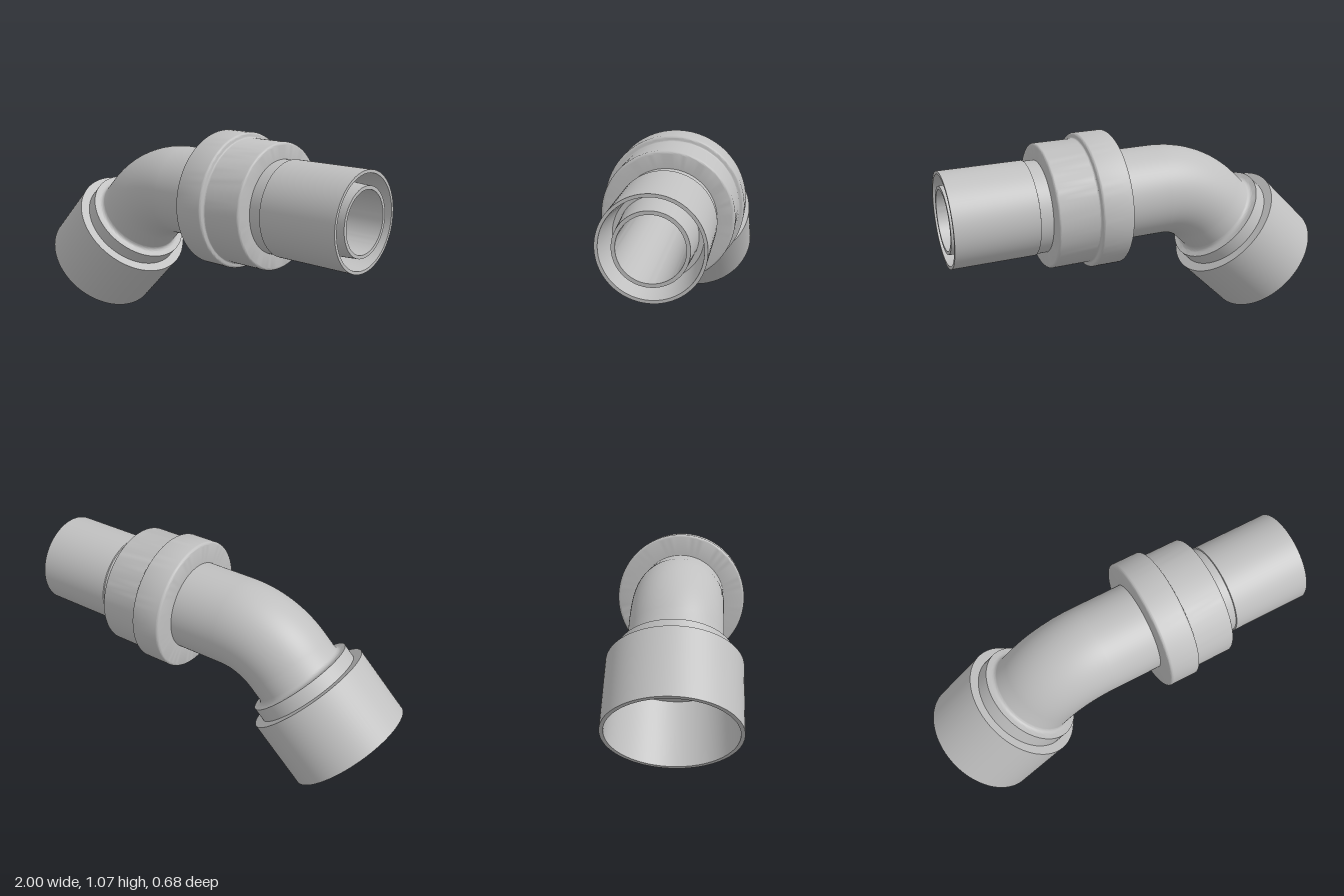
import * as THREE from 'three';
import { toCreasedNormals } from 'three/addons/utils/BufferGeometryUtils.js';

const AXIS_Y = 0.735;      // height of the straight run
const BEND_X = -0.1;       // where the bend begins
const BEND_R = 0.415;      // centre-line radius of the bend
const PIPE_R = 0.23;
const BORE_R = 0.148;
const SEGMENTS = 96;

// quarter-circle corner points, angles in degrees
function corner(cr, cy, radius, from, to) {
  const pts = [];
  for (let i = 0; i <= 6; i++) {
    const a = THREE.MathUtils.degToRad(from + (to - from) * i / 6);
    pts.push([cr + radius * Math.cos(a), cy + radius * Math.sin(a)]);
  }
  return pts;
}

export function createModel() {
  const model = new THREE.Group();
  model.name = 'pipeElbow';
  const grey = new THREE.MeshStandardMaterial({ color: 0xc0c0c0, side: THREE.DoubleSide });
  grey.name = 'grey';

  const add = (parent, name, geometry) => {
    const mesh = new THREE.Mesh(geometry, grey);
    mesh.name = name;
    parent.add(mesh);
  };
  // revolved part from [radius, distance along axis] points
  const turned = (parent, name, points) => {
    const lathe = new THREE.LatheGeometry(points.map(([r, d]) => new THREE.Vector2(r, d)), SEGMENTS);
    add(parent, name, toCreasedNormals(lathe, 0.45));
  };

  // straight run, lathe axis turned to +x
  const run = new THREE.Group();
  run.name = 'straightRun';
  run.position.y = AXIS_Y;
  run.rotation.z = -Math.PI / 2;
  model.add(run);
  turned(run, 'straightPipe', [[PIPE_R, BEND_X], [PIPE_R, 0.59]]);

  // stepped collar with rounded edges
  turned(run, 'collar', [
    [PIPE_R, 0.155],
    ...corner(0.325, 0.17, 0.015, -90, 0),
    ...corner(0.325, 0.303, 0.015, 0, 90),
    ...corner(0.322, 0.328, 0.01, 270, 180),
    ...corner(0.297, 0.512, 0.015, 0, 90),
    [PIPE_R, 0.527],
  ]);

  // spigot end: outer sleeve, ring groove and inner tube
  turned(run, 'spigot', [
    [PIPE_R, 0.588], [0.236, 0.59], [0.236, 1], [0.221, 1],
    [0.2, 0.8], [0.177, 0.8], [0.165, 1], [BORE_R, 1],
  ]);
  turned(run, 'straightBore', [[BORE_R, 1], [BORE_R, BEND_X]]);

  // 45 degree bend, outside and bore
  for (const [name, radius] of [['bend', PIPE_R], ['bendBore', BORE_R]]) {
    const bend = new THREE.TorusGeometry(BEND_R, radius, SEGMENTS, 40, Math.PI / 4);
    bend.rotateZ(Math.PI / 2);
    bend.translate(BEND_X, AXIS_Y - BEND_R, 0);
    add(model, name, bend);
  }

  // socket end, axis rising at 45 degrees from its open mouth
  const socket = new THREE.Group();
  socket.name = 'socketEnd';
  socket.position.set(-0.772, 0.235, 0);
  socket.rotation.z = -Math.PI / 4;
  model.add(socket);
  turned(socket, 'socket', [
    [BORE_R, 0.535], [BORE_R, 0.35], [0.295, 0.35], [0.305, 0],
    [0.324, 0], [0.324, 0.361], [0.276, 0.361], [0.276, 0.433],
    ...corner(0.252, 0.455, 0.022, 270, 180), [PIPE_R, 0.536],
  ]);

  return model;
}
